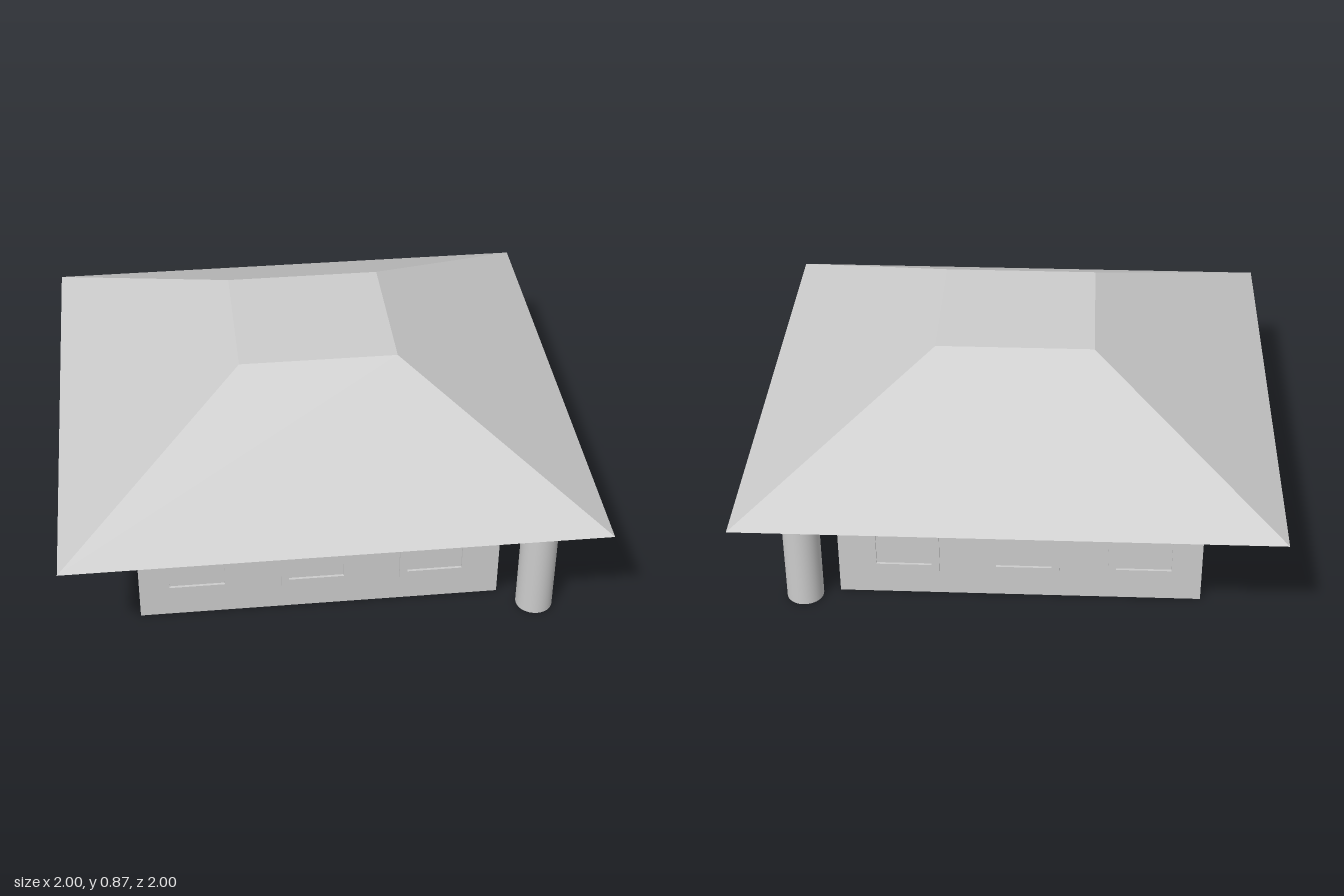
import * as THREE from 'three';

export function createModel() {
  const model = new THREE.Group();
  model.name = 'house';
  const plaster = new THREE.MeshStandardMaterial({ color: 0xcccccc });
  plaster.name = 'plasterGrey';
  const flatPlaster = plaster.clone();
  flatPlaster.flatShading = true;

  const add = (name, geometry, x, y, z, parent = model, material = plaster) => {
    const mesh = new THREE.Mesh(geometry, material);
    mesh.name = name;
    mesh.position.set(x, y, z);
    parent.add(mesh);
    return mesh;
  };

  // Main block, wall planes at these coordinates
  const right = 0.655, left = -0.725, half = 0.69, eave = 0.5;
  add('walls', new THREE.BoxGeometry(right - left, eave, 2 * half), (left + right) / 2, eave / 2, 0);

  // Truncated pyramid roof with wide overhang
  const roofHeight = 0.37;
  add('roof',
    new THREE.CylinderGeometry(0.3 * Math.SQRT2, Math.SQRT2, roofHeight, 4, 1, false, Math.PI / 4),
    0, eave + roofHeight / 2, 0, model, flatPlaster);

  // Porch columns under the overhang
  for (const z of [0.765, -0.715]) {
    add('porchColumn', new THREE.CylinderGeometry(0.07, 0.07, eave, 32), 0.787, eave / 2, z);
  }

  // Raised frame around a recessed pane, built facing +z then turned
  function addWindow(name, w, h, border, depth, x, y, z, turn) {
    const group = new THREE.Group();
    group.name = name;
    const rect = (Type, a, b) => new Type([
      new THREE.Vector2(-a, -b), new THREE.Vector2(a, -b),
      new THREE.Vector2(a, b), new THREE.Vector2(-a, b),
    ]);
    const shape = rect(THREE.Shape, w / 2, h / 2);
    shape.holes.push(rect(THREE.Path, w / 2 - border, h / 2 - border));
    add('windowFrame', new THREE.ExtrudeGeometry(shape, { depth, bevelEnabled: false }), 0, 0, 0, group);
    add('windowPane', new THREE.BoxGeometry(w - 2 * border, h - 2 * border, 0.004), 0, 0, 0, group);
    group.position.set(x, y, z);
    group.rotation.y = turn;
    model.add(group);
  }

  // Three windows on the front and on the back
  for (const x of [-0.505, -0.05, 0.405]) {
    addWindow('frontWindow', 0.27, 0.29, 0.03, 0.012, x, 0.255, half, 0);
    addWindow('backWindow', 0.27, 0.29, 0.03, 0.012, x, 0.255, -half, Math.PI);
  }

  // Two small windows on the porch side, one wide window opposite
  for (const z of [0.416, -0.416]) {
    addWindow('porchWindow', 0.205, 0.205, 0.022, 0.009, right, 0.303, z, Math.PI / 2);
  }
  addWindow('wideWindow', 0.88, 0.285, 0.04, 0.017, left, 0.254, 0, -Math.PI / 2);

  // Flush door with knob and peephole
  add('door', new THREE.BoxGeometry(0.004, 0.4, 0.21), right, 0.2, -0.035);
  add('doorKnob', new THREE.SphereGeometry(0.01, 16, 12), right + 0.012, 0.15, -0.1);
  const peephole = add('peephole', new THREE.CylinderGeometry(0.006, 0.006, 0.01, 16), right, 0.27, -0.035);
  peephole.rotation.z = -Math.PI / 2;

  return model;
}
